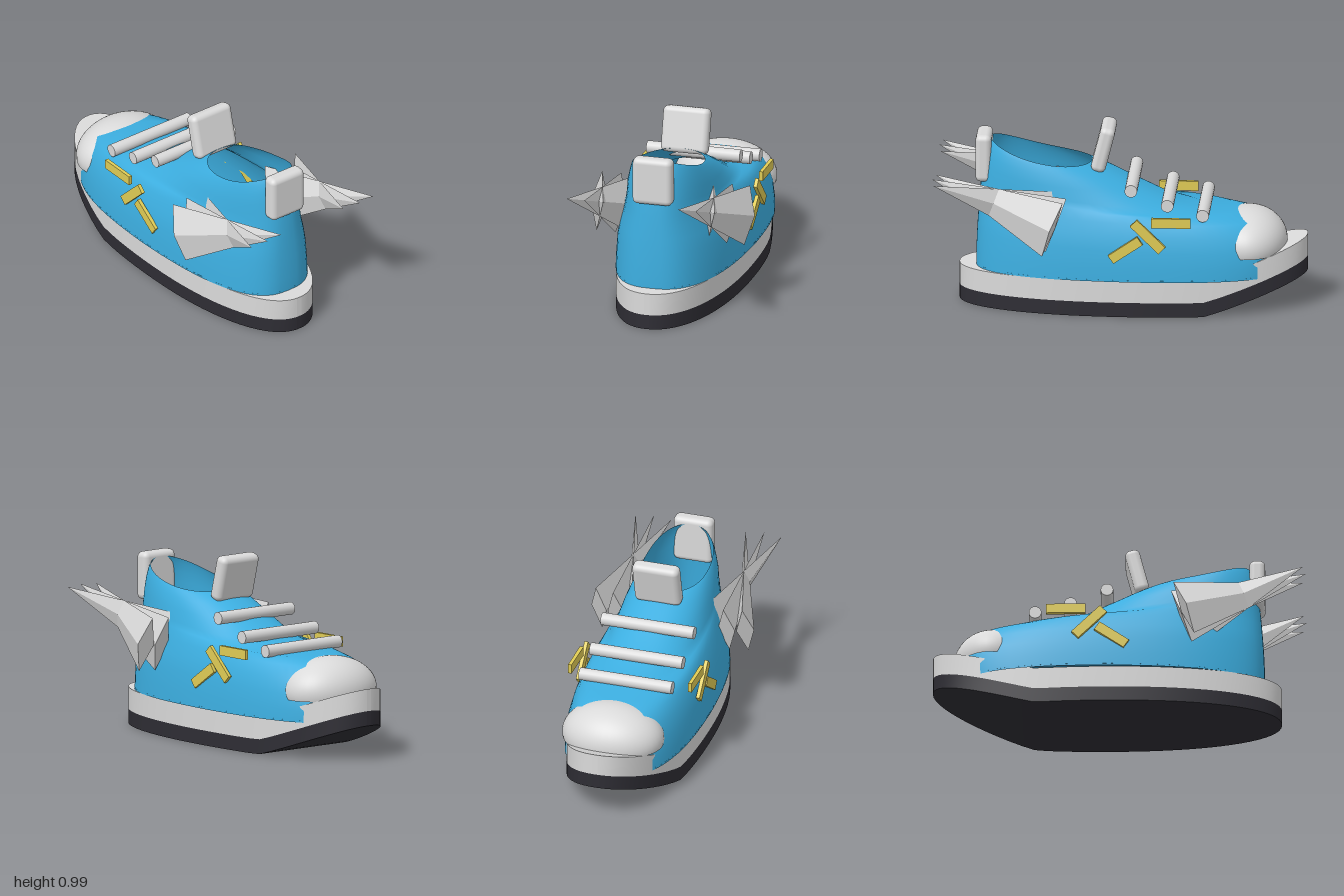
import * as THREE from 'three';
import { RoundedBoxGeometry } from 'three/addons/geometries/RoundedBoxGeometry.js';

const mat = (name, color, extra = {}) => {
  const m = new THREE.MeshStandardMaterial({ color, ...extra });
  m.name = name;
  return m;
};

export function createModel() {
  const blue = mat('blue fabric', 0x3caee0, { side: THREE.DoubleSide });
  const white = mat('pale grey', 0xdadada);
  const facet = mat('pale grey', 0xdadada, { flatShading: true });
  const yellow = mat('yellow', 0xe0cc55);
  const dark = mat('dark rubber', 0x2e2d34);
  const root = new THREE.Group();

  const add = (parent, name, geometry, material, x = 0, y = 0, z = 0) => {
    const mesh = new THREE.Mesh(geometry, material);
    mesh.name = name;
    mesh.position.set(x, y, z);
    parent.add(mesh);
    return mesh;
  };

  // Sole layer: a box shaped to the foot outline and bent up at the toe
  const soleLayer = (y0, y1) => {
    const g = new THREE.BoxGeometry(2, 1, 2, 1, 1, 36);
    const p = g.attributes.position;
    for (let i = 0; i < p.count; i++) {
      const u = Math.sin(p.getZ(i) * Math.PI / 2) * 0.9995;
      const z = -0.065 + 0.935 * u;
      const w = 0.33 * Math.pow(1 - Math.pow(Math.abs(u), 2.2), 1 / 2.2);
      const lift = 0.19 * Math.pow(Math.max(0, (-0.45 - z) / 0.55), 1.1);
      p.setXYZ(i, p.getX(i) * w, (p.getY(i) > 0 ? y1 : y0) + lift, z);
    }
    g.computeVertexNormals();
    return g;
  };
  add(root, 'outsole', soleLayer(0, 0.08), dark);
  add(root, 'midsole', soleLayer(0.08, 0.2), white);

  // Upper: tilted rings [toe z, heel z, half width, toe y, heel y] from base to collar
  const rings = [
    [-0.88, 0.78, 0.345, 0.2, 0.2],
    [-0.89, 0.78, 0.342, 0.26, 0.28],
    [-0.885, 0.775, 0.333, 0.34, 0.4],
    [-0.85, 0.77, 0.315, 0.42, 0.48],
    [-0.78, 0.765, 0.29, 0.49, 0.55],
    [-0.62, 0.76, 0.27, 0.525, 0.61],
    [-0.45, 0.755, 0.255, 0.53, 0.66],
    [-0.28, 0.75, 0.24, 0.575, 0.7],
    [-0.1, 0.74, 0.225, 0.66, 0.76],
    [0.03, 0.73, 0.205, 0.725, 0.82],
    [0.12, 0.715, 0.19, 0.765, 0.87],
    [0.16, 0.7, 0.18, 0.78, 0.9],
  ];
  const N = 64;
  const spow = (v, e) => Math.sign(v) * Math.pow(Math.abs(v), e);
  const ringPoint = (k, j) => {
    const [zf, zb, w, yf, yb] = rings[k];
    const t = k / (rings.length - 1);
    const a = (j / N) * Math.PI * 2;
    const q = 0.74 + 0.16 * t;
    const u = -spow(Math.cos(a), q);
    const x = w * spow(Math.sin(a), q) * (1 - 0.1 * (1 - t) * Math.max(0, u));
    const y = yf + (yb - yf) * Math.pow((u + 1) / 2, 1 + 1.2 * t);
    return [x, y, (zf + zb) / 2 + u * (zb - zf) / 2];
  };
  const verts = [];
  const index = [];
  rings.forEach((_, k) => {
    for (let j = 0; j < N; j++) {
      verts.push(...ringPoint(k, j));
      if (k === rings.length - 1) continue;
      const a = k * N + j, b = k * N + (j + 1) % N;
      index.push(a, a + N, b, b, a + N, b + N);
    }
  });
  const upper = new THREE.BufferGeometry();
  upper.setAttribute('position', new THREE.Float32BufferAttribute(verts, 3));
  upper.setIndex(index);
  upper.computeVertexNormals();
  add(root, 'upper', upper, blue);

  // Insole closing the bottom of the upper
  const floor = new THREE.Shape();
  for (let j = 0; j < N; j++) {
    const [x, , z] = ringPoint(0, j);
    if (j) floor.lineTo(x, -z); else floor.moveTo(x, -z);
  }
  add(root, 'insole', new THREE.ShapeGeometry(floor).rotateX(-Math.PI / 2), blue, 0, 0.21, 0);

  // Toe cap
  const cap = new THREE.SphereGeometry(1, 40, 20, 0, Math.PI * 2, 0, Math.PI * 0.56);
  add(root, 'toeCap', cap.scale(0.28, 0.18, 0.21), white, 0, 0.35, -0.68);

  // Tongue and heel tab
  add(root, 'tongue', new RoundedBoxGeometry(0.26, 0.25, 0.08, 4, 0.03), white, 0, 0.865, 0.095).rotation.x = -0.25;
  add(root, 'heelTab', new RoundedBoxGeometry(0.22, 0.26, 0.085, 4, 0.03), white, 0, 0.8, 0.738);

  // Laces
  for (const [y, z] of [[0.685, -0.065], [0.605, -0.26], [0.553, -0.45]]) {
    add(root, 'lace', new THREE.CylinderGeometry(0.034, 0.034, 0.52, 20).rotateZ(Math.PI / 2), white, 0, y, z);
  }

  for (const side of [1, -1]) {
    // Zigzag side stripes: y, z, length, tilt
    for (const [y, z, len, tilt] of [
      [0.535, -0.285, 0.21, 0],
      [0.457, -0.16, 0.215, -0.78],
      [0.38, -0.04, 0.19, 0.6],
    ]) {
      const bar = add(root, 'sideStripe', new THREE.BoxGeometry(0.02, 0.053, len), yellow, side * 0.338, y, z);
      bar.rotation.x = tilt;
    }

    // Wing: three flattened four-sided spikes fanned about one centre
    const wing = new THREE.Group();
    wing.name = side > 0 ? 'leftWing' : 'rightWing';
    wing.position.set(side * 0.31, 0.625, 0.667);
    wing.rotation.x = -0.353;
    for (const yaw of [-0.29, 0, 0.29]) {
      const spike = new THREE.ConeGeometry(0.16, 0.71, 4).rotateX(Math.PI / 2).scale(0.3, 1, 1);
      add(wing, 'wingSpike', spike, facet).rotation.y = yaw;
    }
    root.add(wing);
  }
  return root;
}
